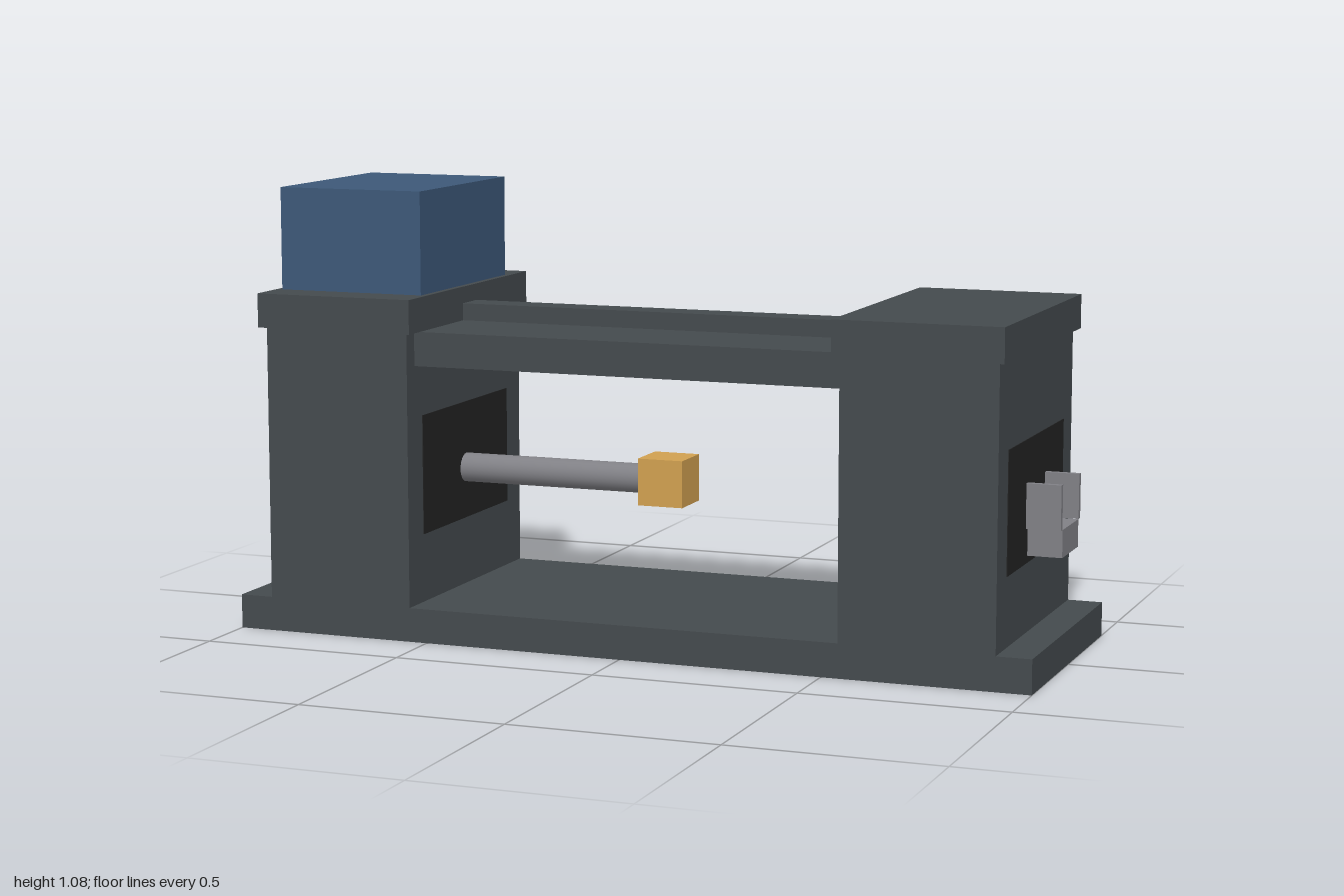
import * as THREE from 'three';

const mat = (name, color) => {
  const m = new THREE.MeshStandardMaterial({ color });
  m.name = name;
  return m;
};

export function createModel() {
  const body = mat('body grey', 0x444a4d);
  const blue = mat('motor blue', 0x3d5878);
  const dark = mat('opening black', 0x222222);
  const steel = mat('steel', 0x808085);
  const brass = mat('brass', 0xd0a050);

  const model = new THREE.Group();
  model.name = 'machineFrame';

  // Box given by its extents on each axis
  const box = (name, material, [x0, x1], [y0, y1], [z0, z1]) => {
    const mesh = new THREE.Mesh(new THREE.BoxGeometry(x1 - x0, y1 - y0, z1 - z0), material);
    mesh.position.set((x0 + x1) / 2, (y0 + y1) / 2, (z0 + z1) / 2);
    mesh.name = name;
    model.add(mesh);
  };
  const both = (h) => [-h, h];

  // Base and the two towers with their caps and dark openings
  box('base', body, [-1, 1], [0, 0.083], both(0.333));
  const towers = [['right', -0.917, -0.544], ['left', 0.54, 0.915]];
  for (const [side, x0, x1] of towers) {
    box(side + 'Tower', body, [x0, x1], [0.083, 0.75], both(0.333));
    box(side + 'Cap', body, [x0 - 0.015, x1 + 0.015], [0.75, 0.833], both(0.35));
    box(side + 'OuterOpening', dark, side === 'right' ? [x0 - 0.002, x0 + 0.002] : [x1 - 0.002, x1 + 0.002],
      [0.25, 0.542], both(0.25));
    box(side + 'InnerOpening', dark, side === 'right' ? [x1 - 0.002, x1 + 0.002] : [x0 - 0.002, x0 + 0.002],
      [0.25, 0.542], both(0.25));
  }

  // Upper bridge with its centre rail
  box('bridge', body, [-0.544, 0.54], [0.667, 0.75], both(0.29));
  box('bridgeRail', body, [-0.53, 0.525], [0.75, 0.792], both(0.04));

  // Motor housing and end plate
  box('motorHousing', blue, [-0.917, -0.544], [0.833, 1.083], both(0.25));
  box('endPlate', body, [-1, -0.917], [0.083, 0.667], both(0.165));

  // Plunger rod and its square head
  const rod = new THREE.Mesh(new THREE.CylinderGeometry(0.036, 0.036, 0.484, 24), steel);
  rod.rotation.z = Math.PI / 2;
  rod.position.set(-0.302, 0.377, 0);
  rod.name = 'plungerRod';
  model.add(rod);
  box('plungerHead', brass, [-0.06, 0.055], [0.32, 0.435], both(0.058));

  // Output chute with two side guides
  box('chute', steel, [0.915, 1], [0.267, 0.333], both(0.075));
  for (const s of [-1, 1]) {
    box(s > 0 ? 'frontGuide' : 'backGuide', steel, [0.915, 1], [0.333, 0.44],
      s > 0 ? [0.077, 0.092] : [-0.092, -0.077]);
  }

  return model;
}
